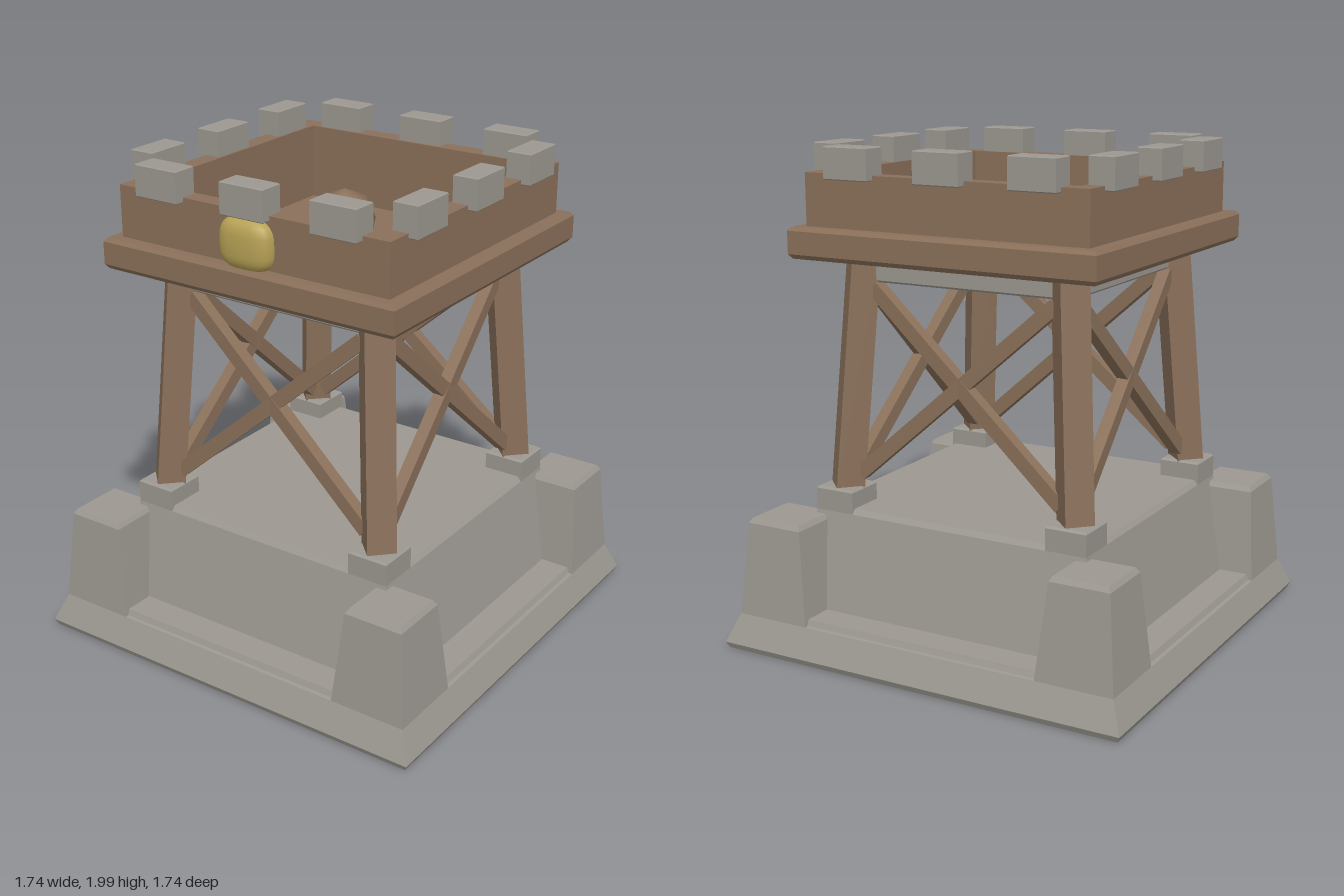
import * as THREE from 'three';

const mat = (name, color) => {
  const m = new THREE.MeshStandardMaterial({ color });
  m.name = name;
  return m;
};

// Solid through rectangular sections [y, x0, x1, z0, z1], listed from bottom to top
function loft(levels) {
  const rings = levels.map(([y, x0, x1, z0, z1]) => [[x0, y, z1], [x1, y, z1], [x1, y, z0], [x0, y, z0]]);
  const pos = [];
  const quad = (a, b, c, d) => pos.push(...a, ...b, ...c, ...a, ...c, ...d);
  for (let l = 0; l < rings.length - 1; l++) {
    const lo = rings[l], hi = rings[l + 1];
    for (let i = 0; i < 4; i++) quad(lo[i], lo[(i + 1) % 4], hi[(i + 1) % 4], hi[i]);
  }
  const [a, b, c, d] = rings[0];
  quad(d, c, b, a);
  quad(...rings[rings.length - 1]);
  const g = new THREE.BufferGeometry();
  g.setAttribute('position', new THREE.Float32BufferAttribute(pos, 3));
  g.computeVertexNormals();
  return g;
}

// Centred square sections [y, half]
const squareLoft = (levels) => loft(levels.map(([y, h]) => [y, -h, h, -h, h]));

// Box between limits with a small bevel on its top and bottom edges
function bevelBox(x0, x1, y0, y1, z0, z1, b = 0.008) {
  return loft([
    [y0, x0 + b, x1 - b, z0 + b, z1 - b], [y0 + b, x0, x1, z0, z1],
    [y1 - b, x0, x1, z0, z1], [y1, x0 + b, x1 - b, z0 + b, z1 - b],
  ]);
}

export function createModel() {
  const stone = mat('stone', 0x9c9891);
  const wood = mat('wood', 0x8a705a);
  const gold = mat('gold', 0xb8a256);
  const model = new THREE.Group();
  model.name = 'watchtower';
  const add = (parent, name, geometry, material) => {
    const m = new THREE.Mesh(geometry, material);
    m.name = name;
    parent.add(m);
    return m;
  };

  // Stone base: flared plinth with a ledge, then a tapered core
  add(model, 'plinth', squareLoft([[0, 0.86], [0.025, 0.872], [0.14, 0.825], [0.142, 0.81], [0.165, 0.8]]), stone);
  add(model, 'baseCore', squareLoft([[0.16, 0.68], [0.55, 0.6], [0.57, 0.585]]), stone);

  // Timber platform
  add(model, 'platformFloor', new THREE.BoxGeometry(1.2, 0.02, 1.2).translate(0, 1.567, 0), wood);

  // One side and one corner, repeated around the tower
  for (let k = 0; k < 4; k++) {
    const side = new THREE.Group();
    side.name = 'towerSide' + (k + 1);
    side.rotation.y = k * Math.PI / 2;
    model.add(side);

    // Corner buttress and leg footing
    add(side, 'cornerButtress', loft([
      [0.14, 0.508, 0.825, 0.508, 0.825], [0.515, 0.548, 0.793, 0.548, 0.793], [0.535, 0.56, 0.78, 0.56, 0.78],
    ]), stone);
    add(side, 'legFooting', bevelBox(0.43, 0.6, 0.54, 0.645, 0.43, 0.6), stone);

    // Leaning leg, set diagonally
    const leg = new THREE.CylinderGeometry(0.08, 0.08, 0.94, 4).toNonIndexed();
    const p = leg.attributes.position;
    for (let i = 0; i < p.count; i++) {
      const lean = 0.48 - 0.065 * p.getY(i);
      p.setXYZ(i, p.getX(i) + lean, p.getY(i) + 1.1, p.getZ(i) + lean);
    }
    leg.computeVertexNormals();
    add(side, 'leg', leg, wood);

    // Crossed braces
    for (const s of [-1, 1]) {
      const a = new THREE.Vector3(-0.45 * s, 0.695, 0.497);
      const b = new THREE.Vector3(0.4 * s, 1.44, 0.45);
      const brace = add(side, 'crossBrace', new THREE.BoxGeometry(0.05, 0.058, a.distanceTo(b)), wood);
      brace.position.copy(a).lerp(b, 0.5);
      brace.lookAt(b);
      // lookAt is resolved in the side's frame
      brace.quaternion.setFromRotationMatrix(new THREE.Matrix4().lookAt(b, a, new THREE.Vector3(0, 1, 0)));
    }

    // Stone beam under the platform
    add(side, 'topBeam', bevelBox(-0.4, 0.4, 1.46, 1.545, 0.395, 0.465), stone);

    // Platform rim and parapet wall
    add(side, 'platformRim', loft([
      [1.557, -0.645, 0.645, 0.53, 0.645], [1.575, -0.658, 0.658, 0.53, 0.658],
      [1.665, -0.658, 0.658, 0.53, 0.658], [1.68, -0.645, 0.645, 0.53, 0.645],
    ]), wood);
    add(side, 'parapet', new THREE.BoxGeometry(1.21, 0.31, 0.075).translate(0, 1.73, 0.5675), wood);

    // Merlons astride the parapet
    for (const x of [-0.395, 0, 0.395]) {
      add(side, 'merlon', bevelBox(x - 0.097, x + 0.097, 1.865, 1.99, 0.54, 0.643, 0.004), stone);
    }
  }

  // Rounded wooden knob in the middle of the floor
  add(model, 'knob', new THREE.SphereGeometry(0.135, 6, 4).translate(0, 1.69, 0), wood);

  // Domed gold boss on the front: a sphere pushed towards a box
  const boss = new THREE.SphereGeometry(1, 20, 14);
  const q = boss.attributes.position;
  const puff = (v, e) => Math.sign(v) * Math.abs(v) ** e;
  for (let i = 0; i < q.count; i++) {
    q.setXYZ(i, 0.118 * puff(q.getX(i), 0.65), 0.1 * puff(q.getY(i), 0.65), 0.065 * puff(q.getZ(i), 0.8));
  }
  boss.computeVertexNormals();
  add(model, 'frontBoss', boss.translate(0, 1.767, 0.6), gold);

  return model;
}
